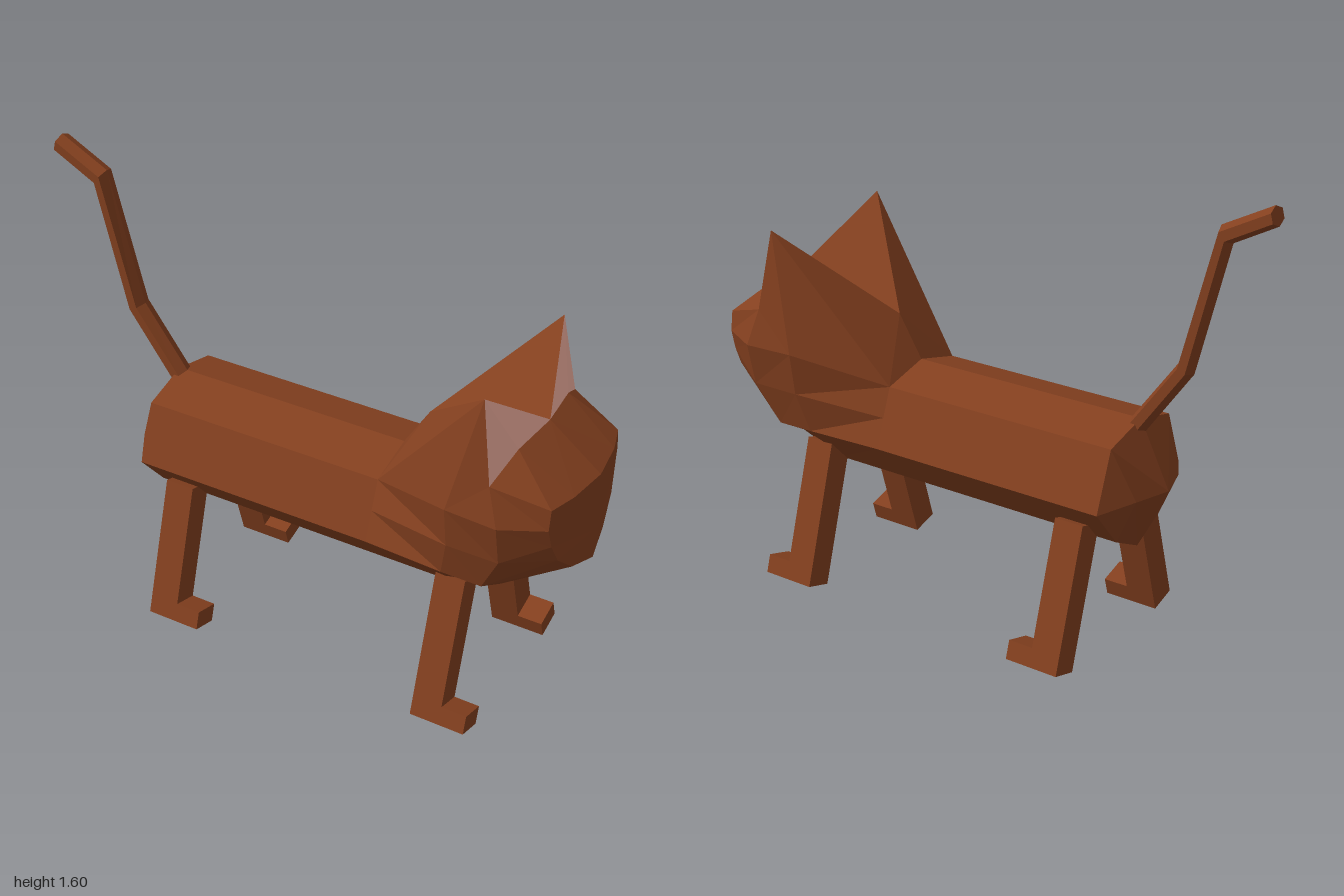
import * as THREE from 'three';

const fur = new THREE.MeshStandardMaterial({ color: 0x84401f, flatShading: true, side: THREE.DoubleSide });
const pink = new THREE.MeshStandardMaterial({ color: 0xf6b3a2, flatShading: true, side: THREE.DoubleSide });

// Mesh from triangles of the +z half, mirrored to the -z half
function mirrored(name, tris, material) {
  const pos = [];
  for (const [a, b, c] of tris) {
    pos.push(...a, ...b, ...c);
    for (const [x, y, z] of [a, c, b]) pos.push(x, y, -z);
  }
  const geo = new THREE.BufferGeometry();
  geo.setAttribute('position', new THREE.Float32BufferAttribute(pos, 3));
  geo.computeVertexNormals();
  const mesh = new THREE.Mesh(geo, material);
  mesh.name = name;
  return mesh;
}

// Triangles between half cross-sections: rows run back to front, points top to bottom
function loft(rows) {
  const same = (p, q) => p.every((v, i) => Math.abs(v - q[i]) < 1e-6);
  const tris = [];
  for (let i = 0; i < rows.length - 1; i++) {
    for (let j = 0; j < rows[i].length - 1; j++) {
      const a = rows[i][j], b = rows[i][j + 1], c = rows[i + 1][j + 1], d = rows[i + 1][j];
      for (const t of [[a, b, c], [a, c, d]]) {
        if (!same(t[0], t[1]) && !same(t[1], t[2]) && !same(t[0], t[2])) tris.push(t);
      }
    }
  }
  return tris;
}

function bodyRing(x) {
  return [[x, 0.825, 0], [x, 0.78, 0.175], [x, 0.58, 0.25], [x, 0.44, 0.13], [x, 0.375, 0]];
}

function makeLeg(name, x, height, side) {
  const s = new THREE.Shape();
  s.moveTo(0, 0);
  s.lineTo(0.195, 0);
  s.lineTo(0.195, 0.065);
  s.lineTo(0.105, 0.065);
  s.lineTo(0.105, height);
  s.lineTo(0, height);
  s.closePath();
  const geo = new THREE.ExtrudeGeometry(s, { depth: 0.1, bevelEnabled: false });
  geo.translate(0, 0, -0.05);
  const leg = new THREE.Mesh(geo, fur);
  leg.position.set(x, 0.015, side * 0.307);
  leg.rotation.x = -side * 0.29;
  leg.name = name;
  return leg;
}

export function createModel() {
  const cat = new THREE.Group();
  cat.name = 'cat';

  // Body with a wedge-shaped rump
  const rump = [[-0.665, 0.6, 0], [-0.625, 0.6, 0.13], [-0.555, 0.58, 0.25], [-0.625, 0.6, 0.13], [-0.665, 0.6, 0]];
  cat.add(mirrored('body', loft([rump, bodyRing(-0.555), bodyRing(0.32)]), fur));

  // Head: key points
  const neck = bodyRing(0.32);
  const nape = [0.41, 0.97, 0], tip = [0.725, 1.28, 0.28];
  const jaw = [0.63, 0.87, 0.322], cheek = [0.81, 0.87, 0.333];
  const crown = [0.82, 1.08, 0], fold = [0.8, 1.07, 0.18], temple = [0.77, 1.0, 0.31];

  // Neck, cheeks and chin
  const rim = [[0.95, 0.87, 0.26], [0.955, 0.8, 0.24], [0.965, 0.73, 0.205], [0.98, 0.655, 0.12], [1, 0.62, 0]];
  const sides = loft([
    [neck[1], [0.32, 0.68, 0.2125], neck[2], neck[3], neck[4]],
    [jaw, [0.63, 0.72, 0.3], [0.6, 0.58, 0.265], [0.58, 0.44, 0.13], [0.57, 0.375, 0]],
    [cheek, [0.81, 0.72, 0.3], [0.74, 0.575, 0.26], [0.75, 0.5, 0.13], [0.76, 0.44, 0]],
    rim,
  ]);

  // Forehead
  const brow = [[1, 0.94, 0], [0.98, 0.94, 0.15], [0.95, 0.94, 0.25], rim[0]];
  const forehead = loft([[crown, fold, temple, cheek], brow]);
  cat.add(mirrored('head', [...sides, ...forehead, [jaw, cheek, temple]], fur));

  // Flat face, ridged down the middle
  const outline = [...brow, ...rim.slice(1)];
  cat.add(mirrored('face', loft([outline, outline.map(p => [1, p[1], 0])]), fur));

  // Ears running back into the neck, with pink insides
  cat.add(mirrored('ears', [
    [nape, neck[0], neck[1]], [nape, neck[1], tip], [neck[1], jaw, tip],
    [jaw, temple, tip], [nape, tip, crown],
  ], fur));
  cat.add(mirrored('innerEars', [[temple, fold, tip], [fold, crown, tip]], pink));

  // Bent six-sided tail: centre x, y and mitre offset x, y
  const tailPath = [
    [-0.992, 1.57, 0.008, 0.031], [-0.83, 1.485, 0.02, 0.026],
    [-0.712, 1.03, 0.028, 0.013], [-0.547, 0.803, 0.025, 0.02],
  ];
  const tailRows = tailPath.map(([x, y, dx, dy]) => [0, 1, 2, 3].map(k => {
    const a = k * Math.PI / 3;
    return [x + dx * Math.cos(a), y + dy * Math.cos(a), k % 3 ? 0.036 : 0];
  }));
  const cap = ([x, y]) => Array(4).fill([x, y, 0]);
  cat.add(mirrored('tail', loft([cap(tailPath[0]), ...tailRows, cap(tailPath[3])]), fur));

  // Splayed legs with feet
  for (const side of [1, -1]) {
    const s = side > 0 ? 'Right' : 'Left';
    cat.add(makeLeg('front' + s + 'Leg', 0.555, 0.515, side));
    cat.add(makeLeg('rear' + s + 'Leg', -0.48, 0.5, side));
  }
  return cat;
}
